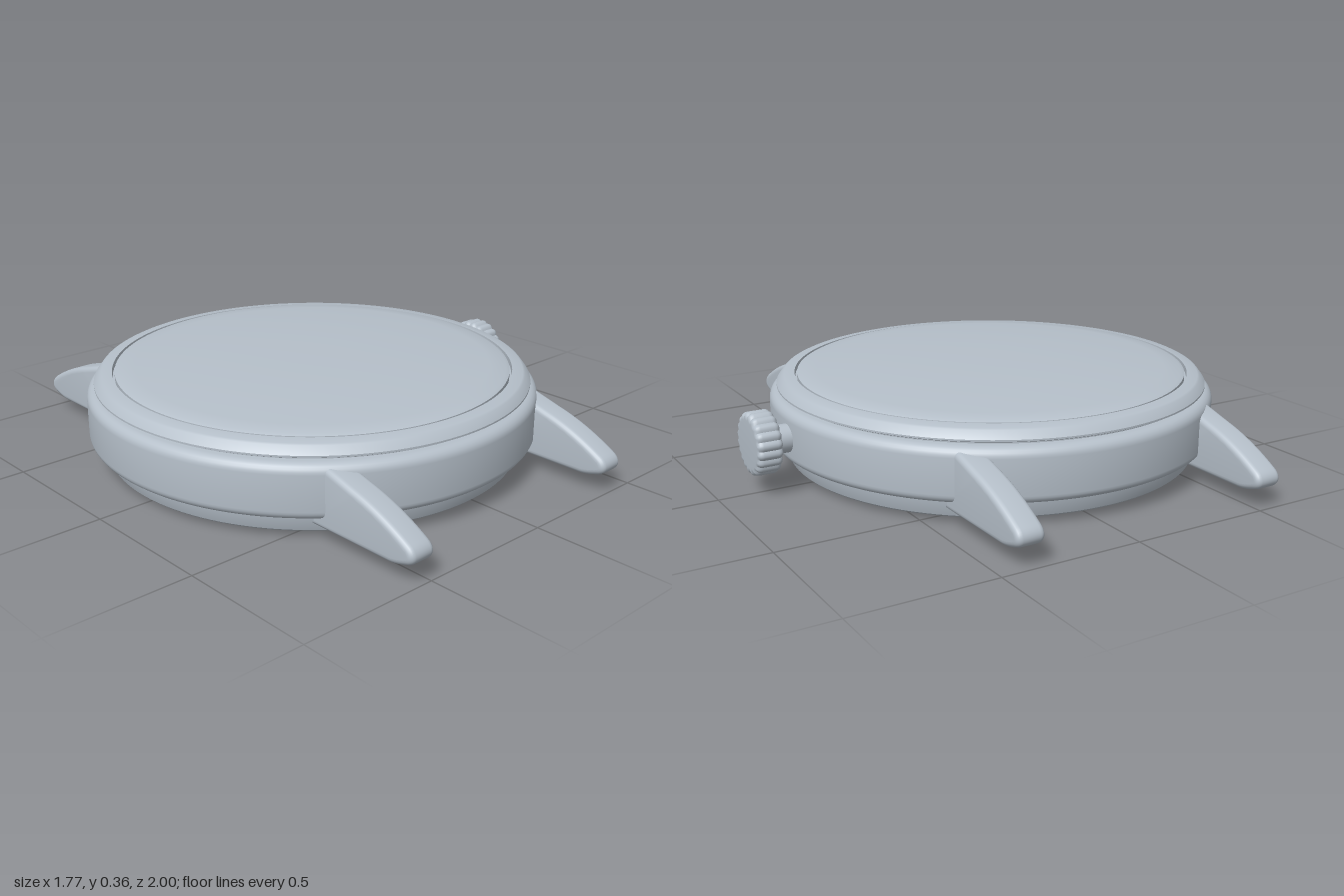
import * as THREE from 'three';
import { toCreasedNormals } from 'three/addons/utils/BufferGeometryUtils.js';

const CX = -0.07; // axis of the round case

// sharpen edges; enlarged meanwhile so that close vertices stay distinct
function crease(geometry, angle = 0.5) {
  geometry.scale(100, 100, 100);
  const out = toCreasedNormals(geometry, angle);
  out.scale(0.01, 0.01, 0.01);
  return out;
}

export function createModel() {
  const model = new THREE.Group();
  const steel = new THREE.MeshStandardMaterial({ color: 0xb5bfc9 });
  steel.name = 'brushed steel';

  function add(name, geometry, parent = model) {
    const mesh = new THREE.Mesh(geometry, steel);
    mesh.name = name;
    parent.add(mesh);
    return mesh;
  }

  // profile points are [radius, height], listed from bottom to top
  function turned(name, points) {
    const profile = points.map(([r, y]) => new THREE.Vector2(r, y));
    add(name, crease(new THREE.LatheGeometry(profile, 128))).position.x = CX;
  }

  // quarter round between two profile points, bulging outwards
  function round(cx, cy, rx, ry, from, to) {
    return Array.from({ length: 7 }, (_, i) => {
      const a = from + (to - from) * i / 6;
      return [cx + rx * Math.cos(a), cy + ry * Math.sin(a)];
    });
  }

  // round parts of the case
  turned('caseBack', [
    [0, 0], [0.3, 0.001], [0.59, 0.004], [0.68, 0.01], [0.745, 0.018],
    [0.752, 0.024], [0.77, 0.075], [0.77, 0.1], [0, 0.1],
  ]);
  turned('caseBand', [
    [0, 0.085], [0.775, 0.085],
    ...round(0.785, 0.115, 0.03, 0.03, -Math.PI / 2, 0),
    ...round(0.78, 0.24, 0.035, 0.035, 0, Math.PI / 2),
    [0, 0.275],
  ]);
  turned('bezelGroove', [[0.765, 0.26], [0.765, 0.295]]);
  turned('bezel', [
    [0.7, 0.284], [0.78, 0.284], [0.788, 0.288], [0.788, 0.294],
    [0.768, 0.32], [0.76, 0.324], [0.722, 0.328], [0.72, 0.31],
  ]);

  // gently domed glass
  const dome = Array.from({ length: 13 }, (_, i) => {
    const r = 0.7 * (1 - i / 12);
    return [r, 0.36 - 0.027 * (r / 0.7) ** 2.3];
  });
  turned('crystal', [[0.713, 0.305], [0.713, 0.327], ...dome]);

  // lugs, side outline drawn as (z, y)
  const side = new THREE.Shape();
  side.moveTo(0.56, 0.05);
  side.lineTo(0.9, 0.05);
  side.quadraticCurveTo(0.93, 0.051, 0.975, 0.067);
  side.bezierCurveTo(1.005, 0.077, 1.01, 0.112, 0.975, 0.132);
  side.quadraticCurveTo(0.86, 0.2, 0.74, 0.23);
  side.lineTo(0.635, 0.26);
  side.lineTo(0.56, 0.26);
  side.closePath();
  const lugGeometry = new THREE.ExtrudeGeometry(side, {
    depth: 0.06, bevelThickness: 0.02, bevelSize: 0.02, bevelOffset: -0.02,
    bevelSegments: 5, curveSegments: 12,
  });
  lugGeometry.translate(0, 0, -0.03).rotateY(-Math.PI / 2);
  const lug = crease(lugGeometry, 0.6);
  for (const x of [-0.465, 0.465]) {
    for (const end of [1, -1]) {
      const mesh = add(end > 0 ? 'frontLug' : 'backLug', lug);
      mesh.position.x = CX + x;
      mesh.rotation.y = end > 0 ? 0 : Math.PI;
    }
  }

  // winding crown with a scalloped rim, on its stem
  const crown = new THREE.Group();
  crown.name = 'crown';
  crown.position.y = 0.178;
  model.add(crown);
  const stem = new THREE.CylinderGeometry(0.05, 0.05, 0.12, 32);
  add('crownStem', stem.rotateZ(-Math.PI / 2), crown).position.x = 0.76;

  const teeth = 20;
  const rim = new THREE.Shape();
  for (let i = 0; i < teeth * 6; i++) {
    const a = i / (teeth * 6) * Math.PI * 2;
    const r = 0.104 + 0.007 * Math.abs(Math.sin(a * teeth / 2));
    if (i) rim.lineTo(r * Math.cos(a), r * Math.sin(a));
    else rim.moveTo(r, 0);
  }
  rim.closePath();
  const knob = new THREE.ExtrudeGeometry(rim, {
    depth: 0.05, bevelThickness: 0.02, bevelSize: 0.018, bevelOffset: -0.018, bevelSegments: 5,
  });
  add('crownKnob', crease(knob.rotateY(Math.PI / 2), 0.6), crown).position.x = 0.817;

  return model;
}
